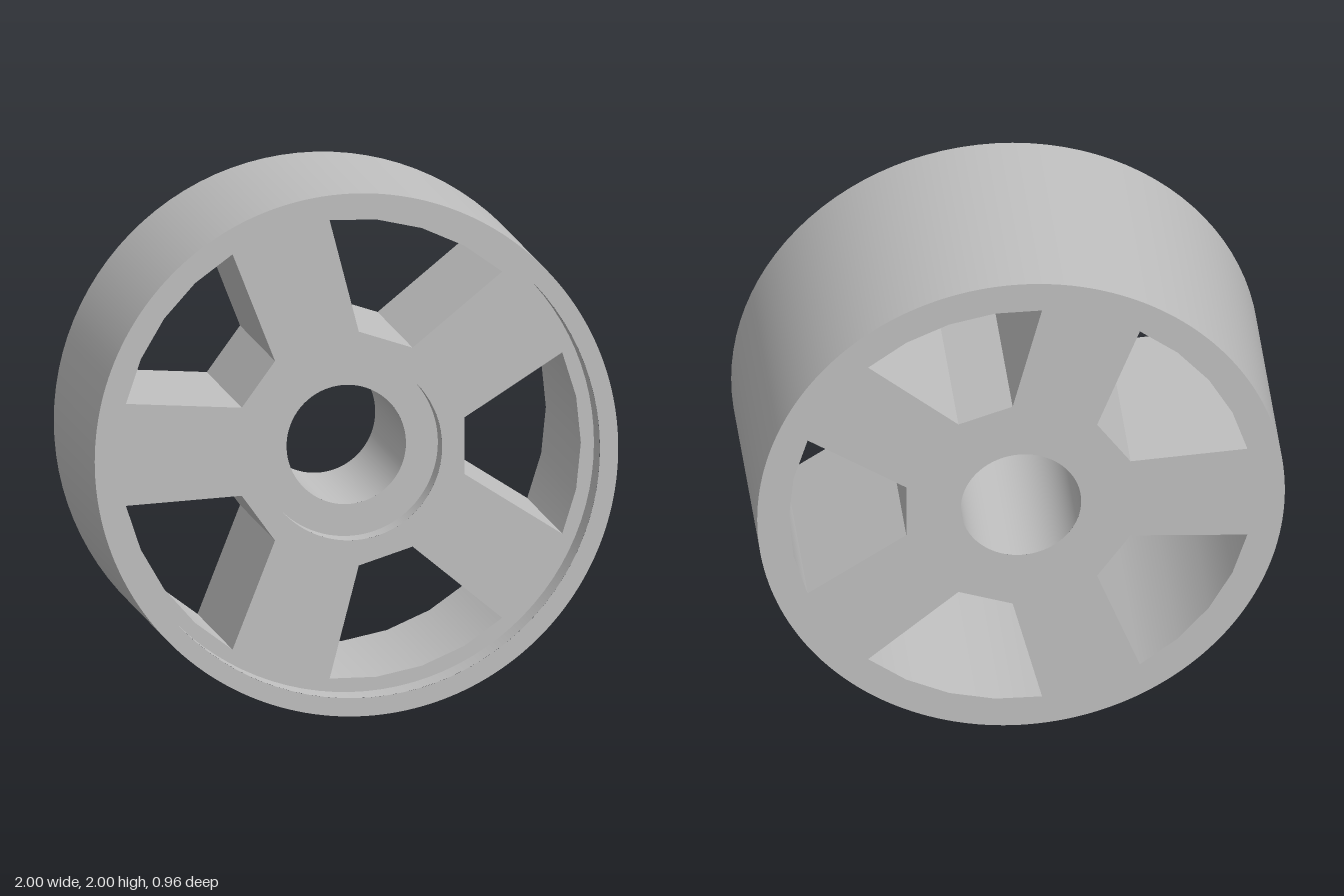
import * as THREE from 'three';

const SEG = 96;
const BACK = -0.48, FRONT = 0.48; // overall width
const WEB = 0.34;                 // front of the spoked web
const SEAT = 0.24;                // floor of the hub counterbore
const RIM = 1, LIP = 0.93, HUB = 0.35, BORE = 0.228;
const WINDOWS = 5;

// One window outline, counter-clockwise: flat hub side, angled spokes, four-segment arc
function windowPoints(turn) {
  const pts = [new THREE.Vector2(0.435, 0.108), new THREE.Vector2(0.435, -0.108)];
  for (let i = 0; i <= 4; i++) {
    const a = THREE.MathUtils.degToRad(-23.2 + 11.6 * i);
    pts.push(new THREE.Vector2(0.88 * Math.cos(a), 0.88 * Math.sin(a)));
  }
  return pts.map((p) => p.rotateAround(new THREE.Vector2(), turn));
}

// Flat ring at depth z, optionally pierced by the windows
function ring(outer, inner, z, { windows = false, back = false } = {}) {
  const shape = new THREE.Shape().absarc(0, 0, outer, 0, Math.PI * 2);
  shape.holes.push(new THREE.Path().absarc(0, 0, inner, 0, Math.PI * 2, true));
  if (windows) {
    for (let i = 0; i < WINDOWS; i++) {
      const turn = (i / WINDOWS) * Math.PI * 2 + (back ? Math.PI : 0);
      shape.holes.push(new THREE.Path(windowPoints(turn)));
    }
  }
  const g = new THREE.ShapeGeometry(shape, SEG);
  if (back) g.rotateY(Math.PI);
  return g.translate(0, 0, z);
}

// Round wall along z: facing outward when z1 > z0, inward otherwise
function wall(radius, z0, z1) {
  const profile = [new THREE.Vector2(radius, z0), new THREE.Vector2(radius, z1)];
  return new THREE.LatheGeometry(profile, SEG).rotateX(Math.PI / 2);
}

// Walls of one window through the web, smooth along its arc
function tunnel(turn) {
  const pts = windowPoints(turn);
  const position = [], normal = [];
  pts.forEach((p, i) => {
    const q = pts[(i + 1) % pts.length];
    const flat = new THREE.Vector2(p.y - q.y, q.x - p.x).normalize();
    const arc = p.length() > 0.8 && q.length() > 0.8;
    const put = (c, z) => {
      const n = arc ? c.clone().normalize().negate() : flat;
      position.push(c.x, c.y, z);
      normal.push(n.x, n.y, 0);
    };
    put(p, BACK); put(p, WEB); put(q, WEB);
    put(p, BACK); put(q, WEB); put(q, BACK);
  });
  const g = new THREE.BufferGeometry();
  g.setAttribute('position', new THREE.Float32BufferAttribute(position, 3));
  g.setAttribute('normal', new THREE.Float32BufferAttribute(normal, 3));
  return g;
}

export function createModel() {
  const metal = new THREE.MeshStandardMaterial({ color: 0xc0c0c0 });
  metal.name = 'greyMetal';

  const model = new THREE.Group();
  model.name = 'wheel';
  const add = (name, geometry) => {
    const mesh = new THREE.Mesh(geometry, metal);
    mesh.name = name;
    model.add(mesh);
  };

  // Rim
  add('tread', wall(RIM, BACK, FRONT));
  add('rimLip', ring(RIM, LIP, FRONT));
  add('rimInnerWall', wall(LIP, FRONT, WEB));

  // Spoked web
  add('spokesFront', ring(LIP, HUB, WEB, { windows: true }));
  add('spokesBack', ring(RIM, BORE, BACK, { windows: true, back: true }));
  for (let i = 0; i < WINDOWS; i++) {
    add('windowWalls' + (i + 1), tunnel((i / WINDOWS) * Math.PI * 2));
  }

  // Hub counterbore and axle bore
  add('hubSeatWall', wall(HUB, WEB, SEAT));
  add('hubSeat', ring(HUB, BORE, SEAT));
  add('axleBore', wall(BORE, SEAT, BACK));

  // Stand the wheel on the ground
  model.children.forEach((m) => { m.position.y = RIM; });
  return model;
}
